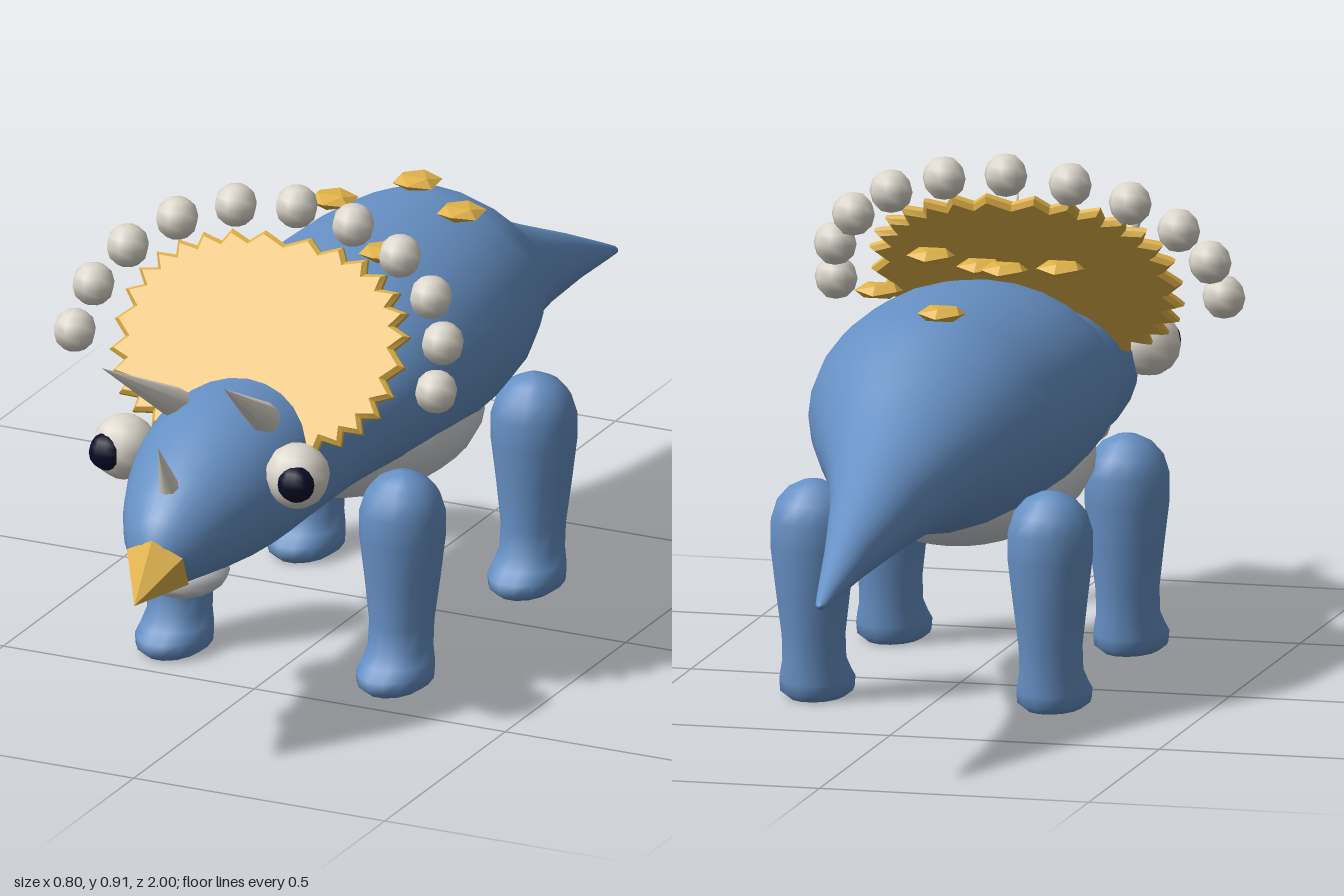
import * as THREE from 'three';

const mat = (name, color, flatShading = false) => {
  const m = new THREE.MeshStandardMaterial({ color, flatShading });
  m.name = name;
  return m;
};

// Smooth skin over elliptical rings; each row is [z, centreY, radiusX, radiusY]
function loft(rows, sides) {
  const pos = [], idx = [];
  rows.forEach(([z, cy, rx, ry], i) => {
    for (let j = 0; j < sides; j++) {
      const a = (j / sides) * Math.PI * 2;
      pos.push(rx * Math.cos(a), cy + ry * Math.sin(a), z);
      if (i === rows.length - 1) continue;
      const k = (j + 1) % sides;
      const p = i * sides + j, q = i * sides + k;
      idx.push(p, q, q + sides, p, q + sides, p + sides);
    }
  });
  const g = new THREE.BufferGeometry();
  g.setAttribute('position', new THREE.Float32BufferAttribute(pos, 3));
  g.setIndex(idx);
  g.computeVertexNormals();
  return g;
}

export function createModel() {
  const root = new THREE.Group();
  root.name = 'hornedDinosaur';
  const blue = mat('blueSkin', 0x6690c4);
  const gold = mat('goldPlate', 0xe0b248, true);
  const ivory = mat('ivory', 0xdcd7cc);
  const pale = mat('paleBelly', 0xd2d4d8);
  const dark = mat('darkPupil', 0x0a0a28);

  const add = (name, geo, material, x = 0, y = 0, z = 0) => {
    const m = new THREE.Mesh(geo, material);
    m.name = name;
    m.position.set(x, y, z);
    root.add(m);
    return m;
  };
  // Cone from a base centre to a tip
  const spike = (name, material, base, tip, r, sides) => {
    const a = new THREE.Vector3(...base), dir = new THREE.Vector3(...tip).sub(a);
    const len = dir.length();
    const g = new THREE.ConeGeometry(r, len, sides).translate(0, len / 2, 0);
    add(name, g, material, ...base).quaternion.setFromUnitVectors(
      new THREE.Vector3(0, 1, 0), dir.normalize());
  };

  // Tail, trunk, neck and head in one skin
  add('body', loft([
    [-1, 0.335, 0.001, 0.001], [-0.99, 0.336, 0.01, 0.008], [-0.95, 0.347, 0.018, 0.016],
    [-0.8, 0.387, 0.044, 0.045], [-0.6, 0.435, 0.085, 0.084], [-0.48, 0.465, 0.12, 0.11],
    [-0.4, 0.487, 0.15, 0.137], [-0.33, 0.505, 0.182, 0.165], [-0.26, 0.517, 0.21, 0.192],
    [-0.2, 0.52, 0.23, 0.2], [-0.1, 0.52, 0.248, 0.204], [0, 0.52, 0.255, 0.205],
    [0.1, 0.52, 0.254, 0.2], [0.18, 0.517, 0.246, 0.19], [0.26, 0.505, 0.23, 0.172],
    [0.33, 0.49, 0.208, 0.155], [0.4, 0.473, 0.183, 0.145], [0.48, 0.46, 0.165, 0.144],
    [0.56, 0.461, 0.161, 0.15], [0.63, 0.461, 0.16, 0.149], [0.7, 0.455, 0.148, 0.142],
    [0.76, 0.445, 0.13, 0.128], [0.82, 0.432, 0.108, 0.108], [0.87, 0.418, 0.083, 0.087],
    [0.905, 0.405, 0.055, 0.062], [0.922, 0.4, 0.028, 0.03], [0.927, 0.4, 0.001, 0.001],
  ], 28), blue);

  // Pale underside and lower jaw
  const belly = add('belly', new THREE.SphereGeometry(1, 24, 16), pale, 0, 0.39, 0.09);
  belly.scale.set(0.215, 0.13, 0.32);
  belly.rotation.x = -0.08;
  add('jaw', new THREE.SphereGeometry(1, 12, 8), pale, 0, 0.325, 0.78).scale.set(0.075, 0.041, 0.09);

  // Legs with forward feet; rows run upward and are then stood up
  const legGeo = loft([
    [0.003, -0.03, 0.001, 0.001], [0.003, -0.03, 0.05, 0.072], [0.015, -0.03, 0.066, 0.085],
    [0.035, -0.03, 0.068, 0.085], [0.052, -0.018, 0.064, 0.074], [0.075, -0.008, 0.058, 0.064],
    [0.12, -0.003, 0.058, 0.062], [0.2, 0, 0.068, 0.069], [0.28, 0, 0.078, 0.077],
    [0.33, 0, 0.078, 0.078], [0.365, 0, 0.067, 0.067], [0.39, 0, 0.045, 0.045],
    [0.402, 0, 0.02, 0.02], [0.405, 0, 0.001, 0.001],
  ], 14).rotateX(-Math.PI / 2);
  for (const s of [1, -1]) {
    const side = s > 0 ? 'left' : 'right';
    add(side + 'FrontLeg', legGeo, blue, s * 0.22, 0, 0.343);
    add(side + 'HindLeg', legGeo, blue, s * 0.22, 0, -0.203);
    // Eyes and brow horns
    add(side + 'Eye', new THREE.SphereGeometry(0.06, 10, 8), ivory, s * 0.172, 0.503, 0.68);
    add(side + 'Pupil', new THREE.SphereGeometry(0.035, 10, 8), dark, s * 0.188, 0.503, 0.716);
    spike(side + 'BrowHorn', ivory, [s * 0.088, 0.585, 0.64], [s * 0.122, 0.73, 0.88], 0.03, 8);
  }
  spike('noseHorn', ivory, [0, 0.5, 0.848], [0, 0.604, 0.9], 0.022, 8);
  spike('beak', gold, [0, 0.375, 0.9], [0, 0.333, 0.998], 0.064, 6);

  // Tilted neck frill with a toothed rim
  const teeth = 30, pts = [];
  for (let i = 0; i < teeth * 2; i++) {
    const a = (i / teeth) * Math.PI, r = i % 2 ? 0.9 : 1;
    const bulge = (v) => Math.sign(v) * Math.abs(v) ** 0.82;
    pts.push(new THREE.Vector2(0.283 * r * bulge(Math.cos(a)), 0.203 * r * bulge(Math.sin(a))));
  }
  const frillGeo = new THREE.ExtrudeGeometry(new THREE.Shape(pts), {
    depth: 0.008, bevelThickness: 0.008, bevelSize: 0.008, bevelOffset: -0.004, bevelSegments: 1,
  }).translate(0, 0, -0.004);
  add('frill', frillGeo, gold, 0, 0.658, 0.475).rotation.x = -0.625;

  // Beads arching round the frill
  const beadGeo = new THREE.SphereGeometry(0.04, 8, 6);
  for (const [x, y] of [[0, 0.87], [0.117, 0.857], [0.222, 0.823], [0.302, 0.77], [0.348, 0.705], [0.36, 0.632]])
    for (const s of x ? [1, -1] : [1])
      add('frillBead', beadGeo, ivory, s * x, y, 0.495 - (y - 0.632) * 0.72);

  // Flat plates hovering along the back
  const plateGeo = new THREE.IcosahedronGeometry(0.046, 0).rotateX(0.36).scale(1, 0.33, 1);
  for (const [x, y, z] of [
    [-0.025, 0.725, -0.23], [0.125, 0.735, -0.1], [-0.08, 0.762, 0.005],
    [0.1, 0.747, 0.172], [-0.115, 0.715, 0.27], [0.06, 0.69, 0.372],
  ]) add('backPlate', plateGeo, gold, x, y, z);

  return root;
}
